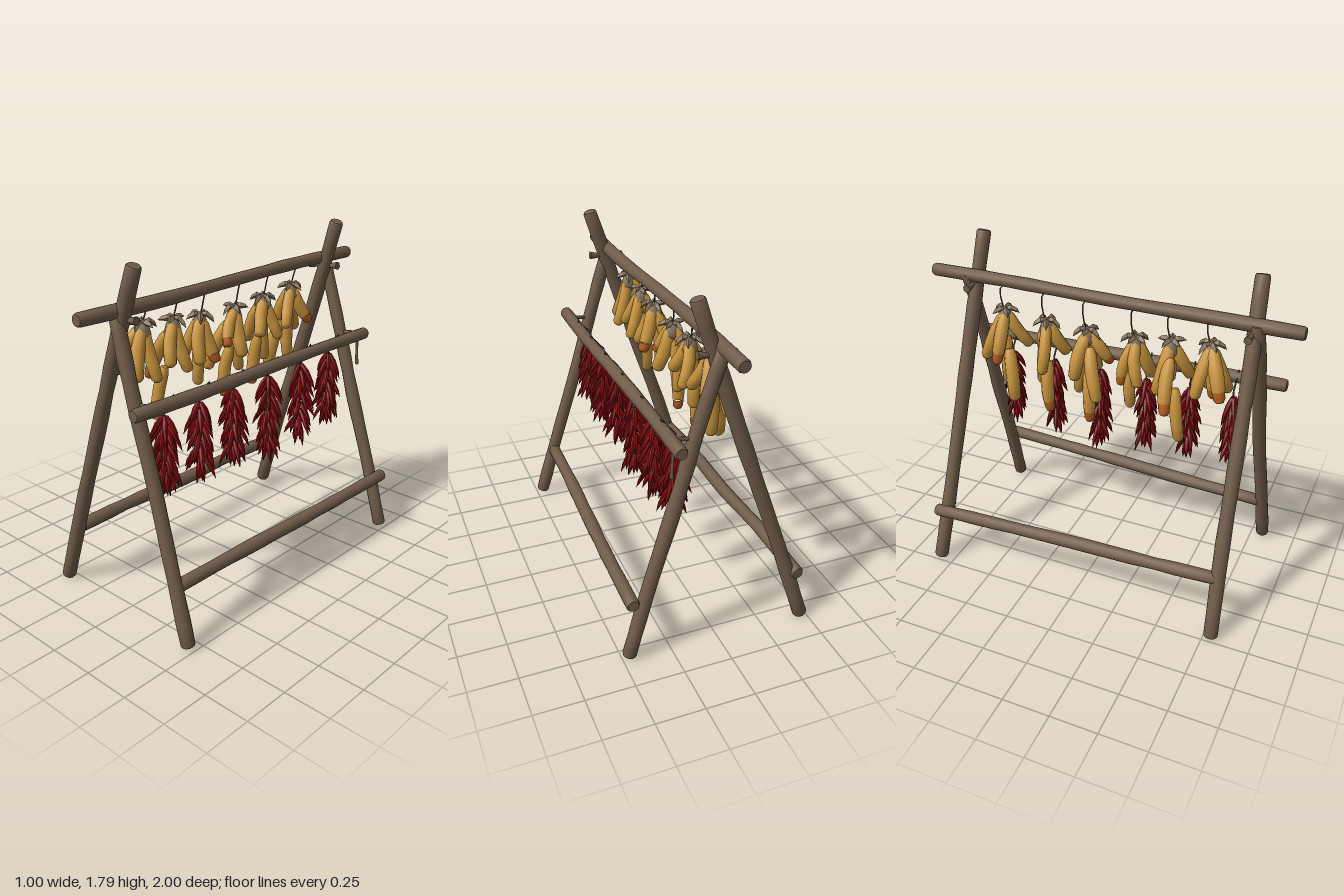
import * as THREE from 'three';
import { toCreasedNormals } from 'three/addons/utils/BufferGeometryUtils.js';

const mat = (name, color, side = THREE.FrontSide) => {
  const m = new THREE.MeshStandardMaterial({ color, side });
  m.name = name;
  return m;
};

let seed = 7;
const rand = () => {
  seed = (seed * 16807) % 2147483647;
  return seed / 2147483647;
};
const jitter = (a) => (rand() * 2 - 1) * a;
const V = (x, y, z) => new THREE.Vector3(x, y, z);

// Tube along points whose rings follow a profile of [position 0..1, radius]
function sweep(name, points, profile, sides, material, crease = 0.9) {
  const curve = new THREE.CatmullRomCurve3(points);
  const geo = new THREE.TubeGeometry(curve, profile.length - 1, 1, sides, false);
  const pos = geo.attributes.position;
  const nor = geo.attributes.normal;
  const n = V(0, 0, 0);
  for (let i = 0; i < pos.count; i++) {
    const [t, r] = profile[Math.floor(i / (sides + 1))];
    const p = curve.getPointAt(t).addScaledVector(n.fromBufferAttribute(nor, i), r);
    pos.setXYZ(i, p.x, p.y, p.z);
  }
  const mesh = new THREE.Mesh(toCreasedNormals(geo, crease), material);
  mesh.name = name;
  return mesh;
}

export function createModel() {
  const model = new THREE.Group();
  model.name = 'dryingRack';
  const wood = mat('wood', 0x705c4a);
  const corn = mat('corn', 0xc8943e);
  const cornTip = mat('cornTip', 0xb4601f);
  const chili = mat('chili', 0x840c10);
  const husk = mat('husk', 0x85735c, THREE.DoubleSide);
  const twine = mat('twine', 0x54473b);

  // Slightly crooked log with cut ends
  function log(name, a, b, r) {
    const points = [0, 0.25, 0.5, 0.75, 1].map((t) => {
      const p = a.clone().lerp(b, t);
      return t % 1 ? p.add(V(jitter(0.007), jitter(0.007), jitter(0.007))) : p;
    });
    const profile = [[0, 0], [0, r * 0.85], [0.006, r]];
    for (let i = 1; i < 14; i++) profile.push([i / 14, r * (1 + jitter(0.07))]);
    profile.push([0.994, r], [1, r * 0.85], [1, 0]);
    model.add(sweep(name, points, profile, 12, wood));
  }

  const cord = (name, points, r = 0.004) =>
    sweep(name, points, [[0, r], [0.25, r], [0.5, r], [0.75, r], [1, r]], 5, twine);

  // Frame: crossed legs, poles and low rails
  log('longLegFront', V(-0.47, 0.01, 0.79), V(0.11, 1.785, 0.75), 0.038);
  log('longLegBack', V(-0.47, 0.01, -0.83), V(0.11, 1.785, -0.74), 0.038);
  log('shortLegFront', V(0.465, 0.015, 0.815), V(-0.005, 1.58, 0.775), 0.036);
  log('shortLegBack', V(0.465, 0.015, -0.81), V(-0.005, 1.58, -0.79), 0.036);
  log('ridgePole', V(0.005, 1.57, 1), V(0.005, 1.565, -1), 0.034);
  log('sidePole', V(0.233, 1.155, 0.9), V(0.233, 1.14, -0.89), 0.033);
  log('rightRail', V(-0.38, 0.325, 0.79), V(-0.42, 0.295, -0.86), 0.034);
  log('leftRail', V(0.38, 0.3, 0.79), V(0.445, 0.325, -0.83), 0.034);

  // Tie pegs where the legs cross, and brackets under the side pole
  for (const z of [0.75, -0.76]) {
    model.add(sweep('tiePeg', [V(-0.075, 1.52, z), V(0.02, 1.525, z), V(0.115, 1.535, z)],
      [[0, 0], [0, 0.022], [0.3, 0.012], [0.7, 0.012], [1, 0.022], [1, 0]], 7, wood));
    model.add(sweep('poleBracket', [V(0.1, 1.145, z * 1.04), V(0.17, 1.155, z * 1.04), V(0.235, 1.165, z * 1.04)],
      [[0, 0], [0, 0.011], [0.5, 0.01], [1, 0.011], [1, 0]], 7, wood));
  }
  model.add(sweep('hangingPeg', [V(0.24, 1.14, -0.805), V(0.243, 1.05, -0.805), V(0.247, 0.975, -0.805)],
    [[0, 0], [0, 0.009], [0.5, 0.008], [1, 0.01], [1, 0]], 7, wood));

  // One corn cob ending at a point, hanging toward its bundle knot
  function cob(group, knot, end, tipped) {
    const dir = knot.clone().sub(end);
    const len = Math.min(0.29, dir.length() - 0.015);
    const start = end.clone().addScaledVector(dir.normalize(), len);
    const mid = start.clone().lerp(end, 0.5).add(V(-0.012, 0.008, jitter(0.012)));
    const pts = [start, mid, end];
    const r = 0.034 + jitter(0.003);
    const split = tipped ? 0.78 : 0.92;
    const body = [[0, 0], [0.01, r * 0.6], [0.12, r * 0.92], [0.4, r * 1.03], [0.65, r], [split, r * 0.9]];
    const tip = [[split, r * 0.9], [0.92, r * 0.8], [0.98, r * 0.55], [1, 0]];
    if (tipped) {
      group.add(sweep('cob', pts, body, 9, corn), sweep('cobTip', pts, tip, 9, cornTip));
    } else {
      group.add(sweep('cob', pts, [...body, ...tip.slice(2)], 9, corn));
    }
  }

  // Corn bundles: knot height, knot z, then cob ends [x, y, z]
  const bundles = [
    [1.45, 0.57, [[-0.15, 1.2, 0.66], [0.03, 1.17, 0.55], [-0.16, 1.2, 0.53], [-0.06, 1.17, 0.6], [0, 1.19, 0.66]]],
    [1.43, 0.37, [[0.02, 1.22, 0.46], [0.03, 1.17, 0.34], [-0.21, 1.1, 0.4], [-0.11, 0.91, 0.45], [-0.12, 1.16, 0.32]]],
    [1.41, 0.18, [[0.02, 1.18, 0.25], [0.03, 1.17, 0.14], [-0.13, 1.18, 0.23], [-0.08, 1.03, 0.17], [-0.1, 1.16, 0.12]]],
    [1.4, -0.08, [[0.0, 1.22, 0.03], [0.03, 1.15, -0.06], [-0.16, 1.06, 0.02], [-0.1, 0.9, -0.05], [-0.06, 1.04, -0.13], [-0.14, 1.15, -0.12]]],
    [1.41, -0.31, [[0.01, 1.22, -0.22], [0.02, 1.18, -0.37], [-0.1, 0.91, -0.28], [-0.06, 1.05, -0.34], [-0.15, 1.15, -0.3]]],
    [1.43, -0.55, [[0.01, 1.22, -0.44], [0.02, 1.22, -0.64], [-0.06, 1.0, -0.55], [-0.14, 0.95, -0.47], [-0.16, 1.16, -0.56], [-0.1, 1.15, -0.66]]],
  ];
  bundles.forEach(([y, z, ends], b) => {
    const group = new THREE.Group();
    group.name = 'cornBundle';
    const knot = V(-0.05, y, z);
    ends.forEach((e, i) => cob(group, knot, V(...e), (i + b) % 3 === 0));
    group.add(sweep('huskKnot', [V(-0.05, y + 0.025, z), V(-0.05, y, z), V(-0.05, y - 0.07, z)],
      [[0, 0], [0.1, 0.018], [0.45, 0.034], [0.8, 0.042], [1, 0.03]], 8, husk));
    // Dry husk leaves
    for (let i = 0; i < 5; i++) {
      const a = (i / 5) * Math.PI * 2 + b;
      const at = (d, h) => V(-0.05 + Math.cos(a) * d, y + h, z + Math.sin(a) * d);
      const leaf = sweep('huskLeaf', [at(0, 0.01), at(0.04, 0.012), at(0.075, -0.015 + jitter(0.02))],
        [[0, 0.008], [0.4, 0.017], [0.7, 0.012], [1, 0]], 4, husk, 0.3);
      group.add(leaf);
    }
    group.add(cord('cornString', [V(0.0, 1.55, z - 0.03), V(-0.035, 1.54, z - 0.03), V(-0.05, y + 0.05, z - 0.02), V(-0.05, y, z)]));
    model.add(group);
  });

  // Chili strings: z and lowest height
  const strings = [[0.645, 0.65], [0.41, 0.63], [0.165, 0.62], [-0.105, 0.57], [-0.38, 0.59], [-0.635, 0.62]];
  strings.forEach(([z, low], s) => {
    const group = new THREE.Group();
    group.name = 'chiliString';
    group.add(cord('chiliCord', [V(0.235, 1.19, z), V(0.175, 1.165, z), V(0.16, 1.12, z), V(0.165, 0.95, z), V(0.165, low + 0.08, z)], 0.005));
    const tiers = 10;
    for (let t = 0; t < tiers; t++) {
      const y = 1.06 + (low + 0.13 - 1.06) * (t / (tiers - 1));
      const cx = 0.165;
      for (let k = 0; k < 4; k++) {
        const a = Math.PI / 4 + (k * Math.PI) / 2 + t * 0.5 + s + jitter(0.3);
        const spread = (t === tiers - 1 ? 0.028 : 0.07) + jitter(0.014);
        const drop = 0.125 + jitter(0.02);
        const at = (d, h) => V(cx + Math.cos(a) * d * 1.15, y + h, z + Math.sin(a) * d * 0.85);
        group.add(sweep('chili', [at(0.004, 0.008), at(spread * 0.6, -drop * 0.45), at(spread, -drop)],
          [[0, 0], [0.06, 0.011], [0.35, 0.0145], [0.7, 0.01], [1, 0]], 6, chili));
      }
    }
    model.add(group);
  });

  return model;
}
